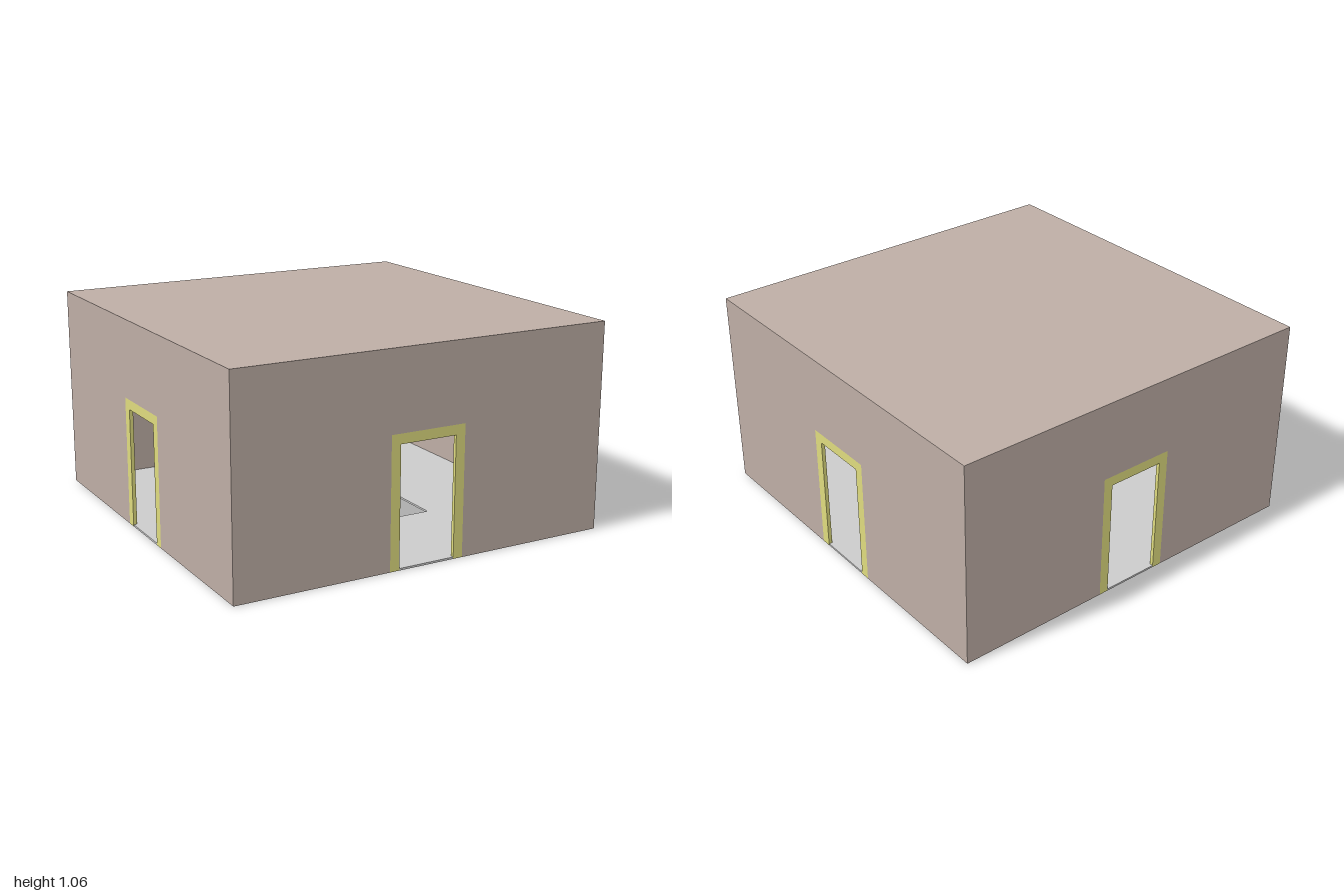
import * as THREE from 'three';

const T = 0.015;        // wall thickness
const HEIGHT = 1.06;
const ROOF = 0.02;
const FLOOR = 0.01;
const BASE = 0.001;     // walls start just above the underside of the floor

const paint = (color) => new THREE.MeshStandardMaterial({ color });

function part(name, geometry, material, x = 0, y = 0, z = 0) {
  const mesh = new THREE.Mesh(geometry, material);
  mesh.name = name;
  mesh.position.set(x, y, z);
  return mesh;
}

// Upright outline with a doorway notch cut up from its lower edge
function notched(halfWidth, bottom, top, doorHalf, doorTop) {
  return new THREE.Shape([
    [-halfWidth, bottom], [-doorHalf, bottom], [-doorHalf, doorTop], [doorHalf, doorTop],
    [doorHalf, bottom], [halfWidth, bottom], [halfWidth, top], [-halfWidth, top],
  ].map(([x, y]) => new THREE.Vector2(x, y)));
}

const extrude = (shape, depth) =>
  new THREE.ExtrudeGeometry(shape, { depth, bevelEnabled: false });

export function createModel() {
  const room = new THREE.Group();
  room.name = 'room';
  const wallPaint = paint(0xbdada5);
  const framePaint = paint(0xdedb7e);
  const floorPaint = paint(0xcccccc);
  const darkMetal = paint(0x303030);

  // Four matching walls, each with a framed doorway
  const wallShape = extrude(notched(1, BASE, HEIGHT - ROOF, 0.2, 0.66), T);
  const frameShape = extrude(notched(0.2, BASE, 0.66, 0.15, 0.61), T + 0.004);
  ['front', 'right', 'back', 'left'].forEach((side, i) => {
    const group = new THREE.Group();
    group.name = side + 'Side';
    group.add(part('wall', wallShape, wallPaint, 0, 0, 1 - T));
    group.add(part('doorFrame', frameShape, framePaint, 0, 0, 1 - T - 0.004));
    group.rotation.y = -i * Math.PI / 2;
    room.add(group);
  });

  // Flat roof
  room.add(part('roof', new THREE.BoxGeometry(2, ROOF, 2), wallPaint, 0, HEIGHT - ROOF / 2, 0));

  // Thin floor with a square opening in the middle
  const square = (r) => [[-r, -r], [r, -r], [r, r], [-r, r]].map(([x, y]) => new THREE.Vector2(x, y));
  const floorOutline = new THREE.Shape(square(0.999));
  floorOutline.holes.push(new THREE.Path(square(0.4).reverse()));
  const floor = part('floor', extrude(floorOutline, FLOOR), floorPaint, 0, FLOOR, 0);
  floor.rotation.x = Math.PI / 2;
  room.add(floor);

  // Low ribbed heater on the inside of the front wall
  const heater = new THREE.Group();
  heater.name = 'heater';
  const fin = new THREE.BoxGeometry(0.02, 0.17, 0.06);
  for (let i = 0; i < 15; i++) {
    heater.add(part('fin', fin, darkMetal, -0.88 + i * 0.045, 0.125, 0.9));
  }
  const pipe = new THREE.CylinderGeometry(0.01, 0.01, 0.63, 8).rotateZ(Math.PI / 2);
  for (const y of [0.07, 0.18]) heater.add(part('pipe', pipe, darkMetal, -0.565, y, 0.9));
  const bracket = new THREE.BoxGeometry(0.02, 0.02, 0.07);
  for (const x of [-0.8, -0.33]) heater.add(part('bracket', bracket, darkMetal, x, 0.18, 0.95));
  room.add(heater);

  return room;
}
